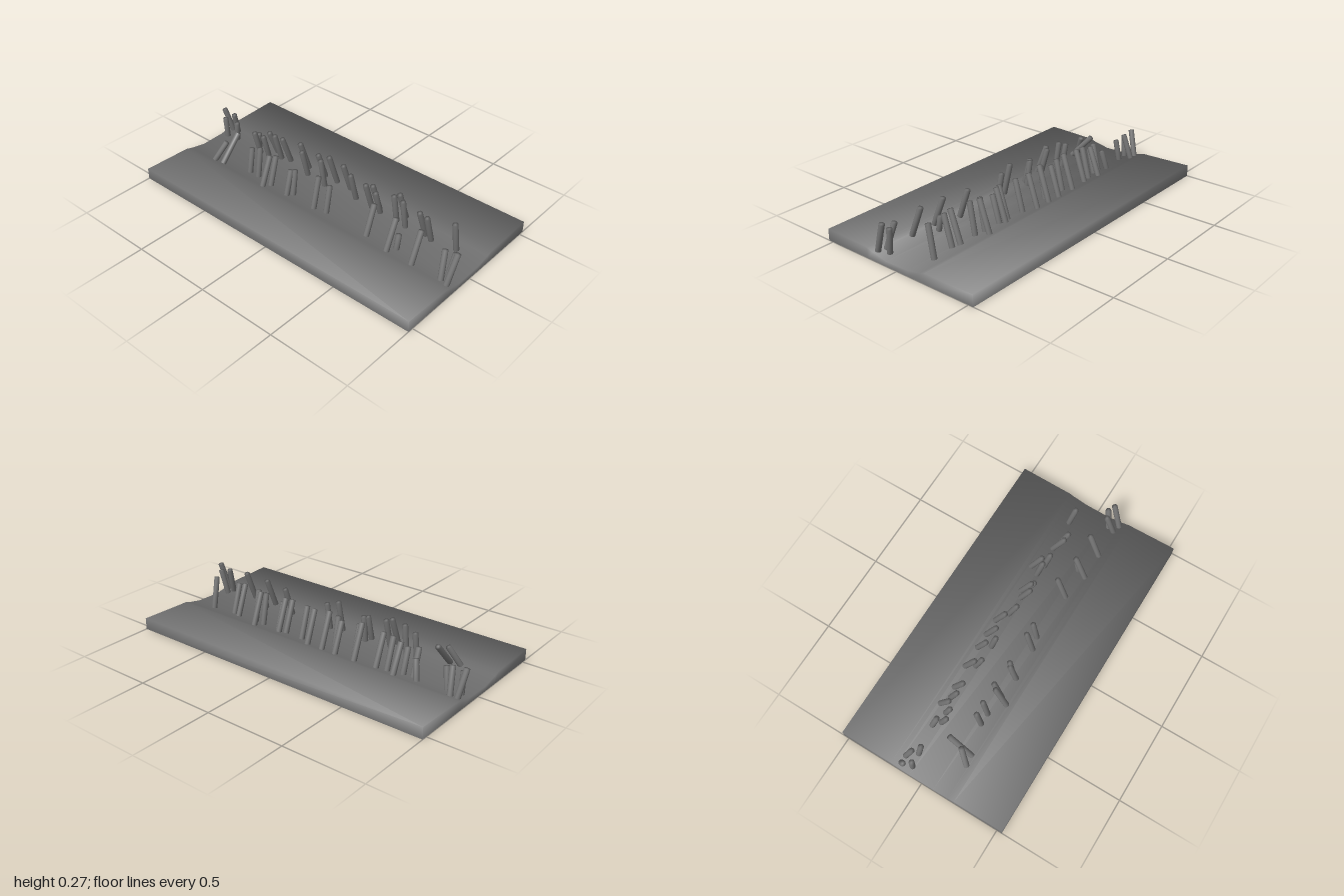
import * as THREE from 'three';
import { mergeVertices } from 'three/addons/utils/BufferGeometryUtils.js';

const mat = new THREE.MeshStandardMaterial({ color: 0x777777, side: THREE.DoubleSide });

// Ground: shallow ditch cross-section run along z, with skirt walls and an open underside
function makeGround() {
  const profile = [
    [-0.532, 0.07], [-0.22, 0.062], [-0.18, 0.05], [-0.08, 0.03],
    [0.08, 0.034], [0.17, 0.052], [0.2, 0.062], [0.532, 0.071],
  ];
  const n = profile.length, e = n - 1, pos = [], normals = [], idx = [];
  // Four rows: front base, front top, back top, back base; normals blend softly over the rim
  for (const [z, top] of [[1, 0], [1, 1], [-1, 1], [-1, 0]])
    profile.forEach(([x, y], i) => {
      const [x0, y0] = profile[Math.max(0, i - 1)], [x1, y1] = profile[Math.min(e, i + 1)];
      const outward = i === 0 ? -1 : i === e ? 1 : 0;
      const normal = new THREE.Vector3(outward - top * (y1 - y0) / (x1 - x0), top, z).normalize();
      pos.push(x, top * y, z);
      normals.push(normal.x, normal.y, normal.z);
    });
  for (let r = 0; r < 3; r++)
    for (let i = 0; i < e; i++) {
      const a = r * n + i, b = a + 1, c = a + n, d = c + 1;
      idx.push(a, b, d, a, d, c);
    }
  // Side skirts
  idx.push(0, n, 2 * n, 0, 2 * n, 3 * n);
  idx.push(e, e + 3 * n, e + 2 * n, e, e + 2 * n, e + n);
  const g = new THREE.BufferGeometry();
  g.setAttribute('position', new THREE.Float32BufferAttribute(pos, 3));
  g.setAttribute('normal', new THREE.Float32BufferAttribute(normals, 3));
  g.setIndex(idx);
  return new THREE.Mesh(g, mat);
}

// Round post standing between two points, shaded smoothly over its ends
function makePost(base, tip, radius) {
  const dir = tip.clone().sub(base);
  const cylinder = new THREE.CylinderGeometry(radius, radius, dir.length(), 12);
  cylinder.deleteAttribute('normal');
  cylinder.deleteAttribute('uv');
  const g = mergeVertices(cylinder);
  g.computeVertexNormals();
  const post = new THREE.Mesh(g, mat);
  post.position.copy(base).add(tip).multiplyScalar(0.5);
  post.quaternion.setFromUnitVectors(new THREE.Vector3(0, 1, 0), dir.normalize());
  post.name = 'post';
  return post;
}

// Each post: z, distance of base and tip from the centre line, tip height, lean along z
const leftRow = [
  [-0.975, 0.155, 0.11, 0.21, -0.02], [-0.95, 0.09, 0.08, 0.17], [-0.91, 0.155, 0.11, 0.2, 0.02],
  [-0.86, 0.1, 0.085, 0.17, 0.02], [-0.68, 0.125, 0.1, 0.16, 0.025], [-0.65, 0.09, 0.045, 0.2],
  [-0.59, 0.1, 0.06, 0.19], [-0.56, 0.155, 0.085, 0.22], [-0.5, 0.125, 0.07, 0.23],
  [-0.435, 0.14, 0.07, 0.235], [-0.295, 0.155, 0.08, 0.255], [-0.26, 0.105, 0.055, 0.225],
  [-0.16, 0.155, 0.09, 0.23], [-0.11, 0.09, 0.055, 0.23], [-0.065, 0.155, 0.08, 0.26],
  [0.04, 0.155, 0.085, 0.245], [0.12, 0.11, 0.055, 0.23], [0.245, 0.105, 0.04, 0.23],
  [0.285, 0.125, 0.055, 0.235], [0.31, 0.1, 0.05, 0.2], [0.43, 0.1, 0.065, 0.23],
  [0.455, 0.155, 0.085, 0.24], [0.5, 0.09, 0.055, 0.23], [0.63, 0.105, 0.035, 0.23],
  [0.68, 0.09, 0.035, 0.22], [0.835, 0.11, 0.075, 0.235],
];
const rightRow = [
  [-0.765, 0.17, 0.11, 0.17, 0.05], [-0.725, 0.165, 0.025, 0.2], [-0.54, 0.11, 0.085, 0.2],
  [-0.47, 0.11, 0.085, 0.23], [-0.37, 0.175, 0.105, 0.23], [-0.345, 0.13, 0.08, 0.225],
  [-0.205, 0.14, 0.1, 0.2], [-0.185, 0.105, 0.085, 0.2], [0, 0.13, 0.085, 0.24],
  [0.08, 0.11, 0.08, 0.21], [0.39, 0.125, 0.06, 0.225], [0.56, 0.16, 0.085, 0.23],
  [0.585, 0.1, 0.085, 0.13], [0.73, 0.16, 0.085, 0.235], [0.91, 0.155, 0.105, 0.21, -0.02],
  [0.945, 0.115, 0.085, 0.2, 0.02], [0.975, 0.17, 0.11, 0.23, 0.015],
];

function makeRow(list, side, name) {
  const row = new THREE.Group();
  row.name = name;
  for (const [z, baseX, tipX, tipY, lean = 0] of list) {
    const baseY = 0.036 + 0.14 * Math.max(0, baseX - 0.08);
    row.add(makePost(
      new THREE.Vector3(side * baseX, baseY, z - lean / 2),
      new THREE.Vector3(side * tipX, tipY, z + lean / 2), 0.017));
  }
  return row;
}

export function createModel() {
  const model = new THREE.Group();
  const ground = makeGround();
  ground.name = 'ground';
  model.add(ground, makeRow(leftRow, 1, 'leftPosts'), makeRow(rightRow, -1, 'rightPosts'));
  return model;
}
